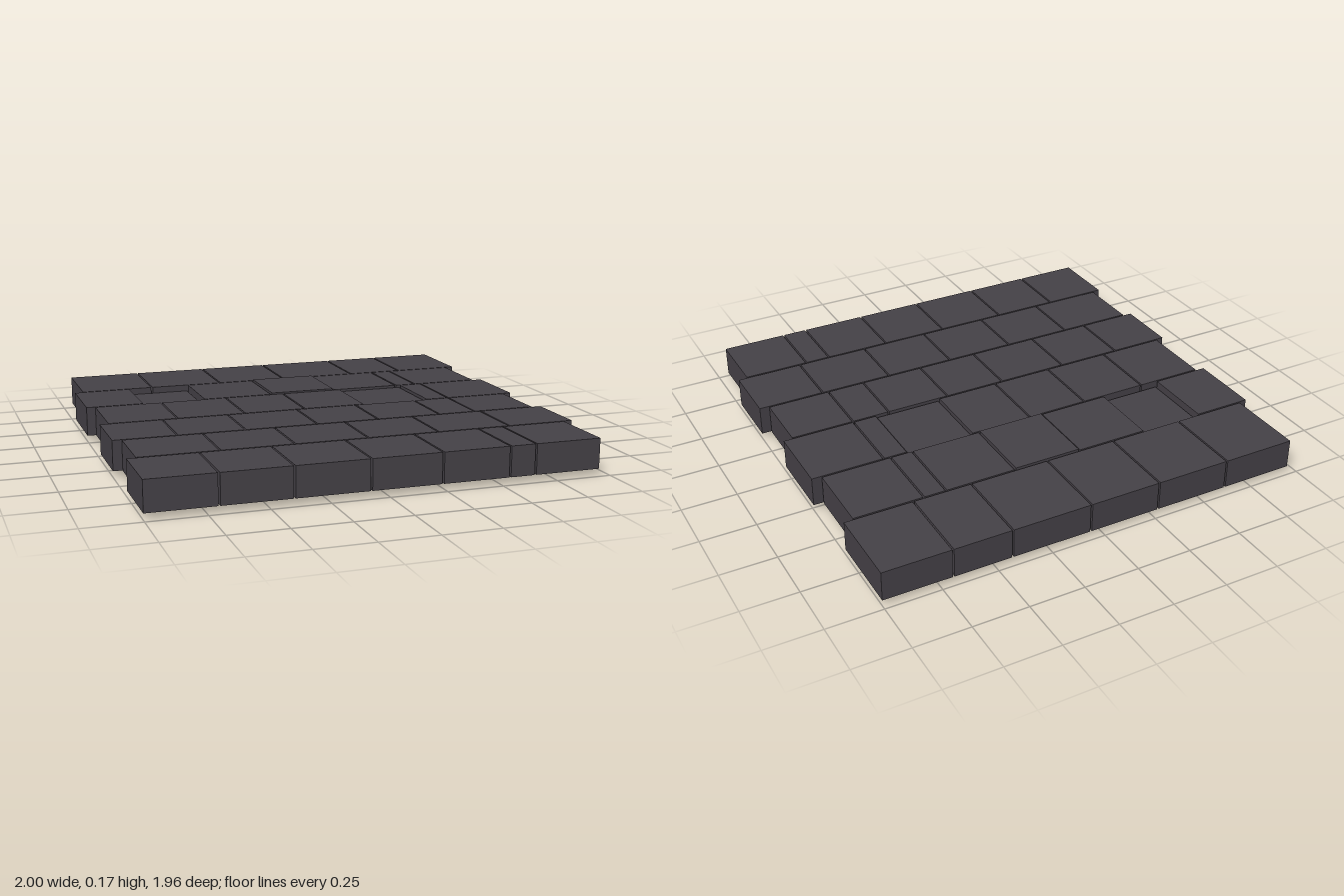
import * as THREE from 'three';

// Each course: z of its back and front seams, and the x of the seams between stones
const courses = [
  { z: [-0.984, -0.612], x: [-0.964, -0.62, -0.274, 0.058, 0.425, 0.692, 1.004] },
  { z: [-0.612, -0.273], x: [-1.004, -0.731, -0.442, -0.107, 0.211, 0.538, 0.64, 0.961] },
  { z: [-0.273, 0.066], x: [-0.964, -0.65, -0.337, -0.051, 0.243, 0.557, 0.669, 1.004] },
  { z: [0.066, 0.365], x: [-1.004, -0.72, -0.419, -0.091, 0.195, 0.492, 0.668, 0.961] },
  { z: [0.365, 0.664], x: [-0.964, -0.612, -0.291, 0.034, 0.356, 0.693, 1.004] },
  { z: [0.664, 0.984], x: [-1.004, -0.702, -0.397, -0.074, 0.238, 0.54, 0.657, 0.961] },
];
const GAP = 0.008, HEIGHT = 0.134, BASE = 0.028;

// Stones that sit above or below the others, keyed by course and position
const offsets = { '1,1': -0.028, '1,3': 0.006, '2,4': -0.01 };

export function createModel() {
  const floor = new THREE.Group();
  floor.name = 'pavingFloor';
  const stoneMaterial = new THREE.MeshStandardMaterial({ color: 0x454147 });

  courses.forEach(({ z, x }, row) => {
    const course = new THREE.Group();
    course.name = `stoneCourse${row + 1}`;
    for (let i = 0; i < x.length - 1; i++) {
      const stone = new THREE.Mesh(
        new THREE.BoxGeometry(x[i + 1] - x[i] - GAP, HEIGHT, z[1] - z[0] - GAP),
        stoneMaterial
      );
      stone.name = `pavingStone${i + 1}`;
      const lift = offsets[`${row},${i}`] ?? 0;
      stone.position.set((x[i] + x[i + 1]) / 2, BASE + HEIGHT / 2 + lift, (z[0] + z[1]) / 2);
      course.add(stone);
    }
    floor.add(course);
  });
  return floor;
}
